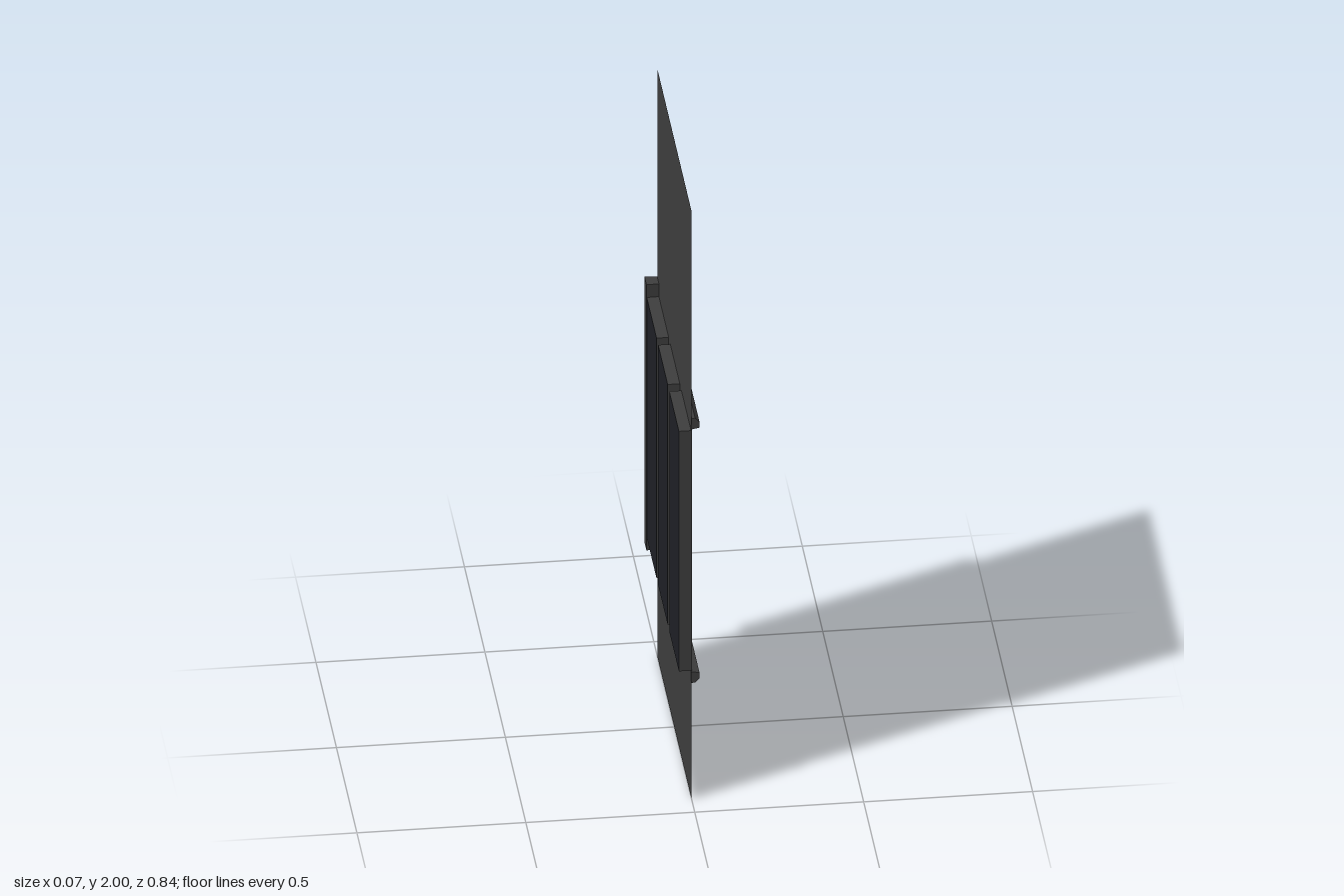
import * as THREE from 'three';

export function createModel() {
  const root = new THREE.Group();
  const grey = new THREE.MeshStandardMaterial({ color: 0x3e3e3e, flatShading: true });
  const sheetGrey = new THREE.MeshStandardMaterial({ color: 0x3e3e3e, side: THREE.DoubleSide });
  const glass = new THREE.MeshStandardMaterial({ color: 0x1e1f25, flatShading: true });

  const add = (name, geometry, material) => {
    const mesh = new THREE.Mesh(geometry, material);
    mesh.name = name;
    root.add(mesh);
    return mesh;
  };
  const shapeOf = (points) => new THREE.Shape(points.map(([a, b]) => new THREE.Vector2(a, b)));

  // Thin wall sheet in the yz plane, notched beside the window
  const sheet = shapeOf([
    [-0.42, 0], [0.41, 0], [0.41, 2], [-0.42, 2],
    [-0.42, 1.27], [-0.405, 1.27], [-0.405, 0.395], [-0.42, 0.395],
  ]);
  add('wallSheet', new THREE.ShapeGeometry(sheet).rotateY(Math.PI / 2), sheetGrey);

  // Three window blocks, glazed on both broad faces, grey around the edges
  const glazing = [glass, glass, grey, grey, grey, grey];
  for (const [z0, z1] of [[-0.378, -0.137], [-0.097, 0.135], [0.175, 0.41]]) {
    const block = add('windowPane', new THREE.BoxGeometry(0.039, 0.817, z1 - z0), glazing);
    block.position.set(-0.0165, 0.838, (z0 + z1) / 2);
  }

  // Bevelled rails above and below the window, mirrored about its middle
  const middle = 0.838;
  for (const side of [1, -1]) {
    const profile = [[0, 0.412], [0.025, 0.417], [0.025, 0.436], [0.012, 0.45], [0, 0.45]];
    const rail = new THREE.ExtrudeGeometry(
      shapeOf(profile.map(([x, y]) => [x, middle + side * y])),
      { depth: 0.79, bevelEnabled: false });
    add(side > 0 ? 'topRail' : 'bottomRail', rail.translate(0, 0, -0.38), grey);
  }

  // End post, slightly out of square in plan
  const plan = shapeOf([[-0.037, 0.375], [0.035, 0.378], [0.035, 0.418], [-0.037, 0.423]]);
  const post = new THREE.ExtrudeGeometry(plan, { depth: 0.904, bevelEnabled: false });
  add('endPost', post.rotateX(-Math.PI / 2).translate(0, 0.386, 0), grey);

  return root;
}
